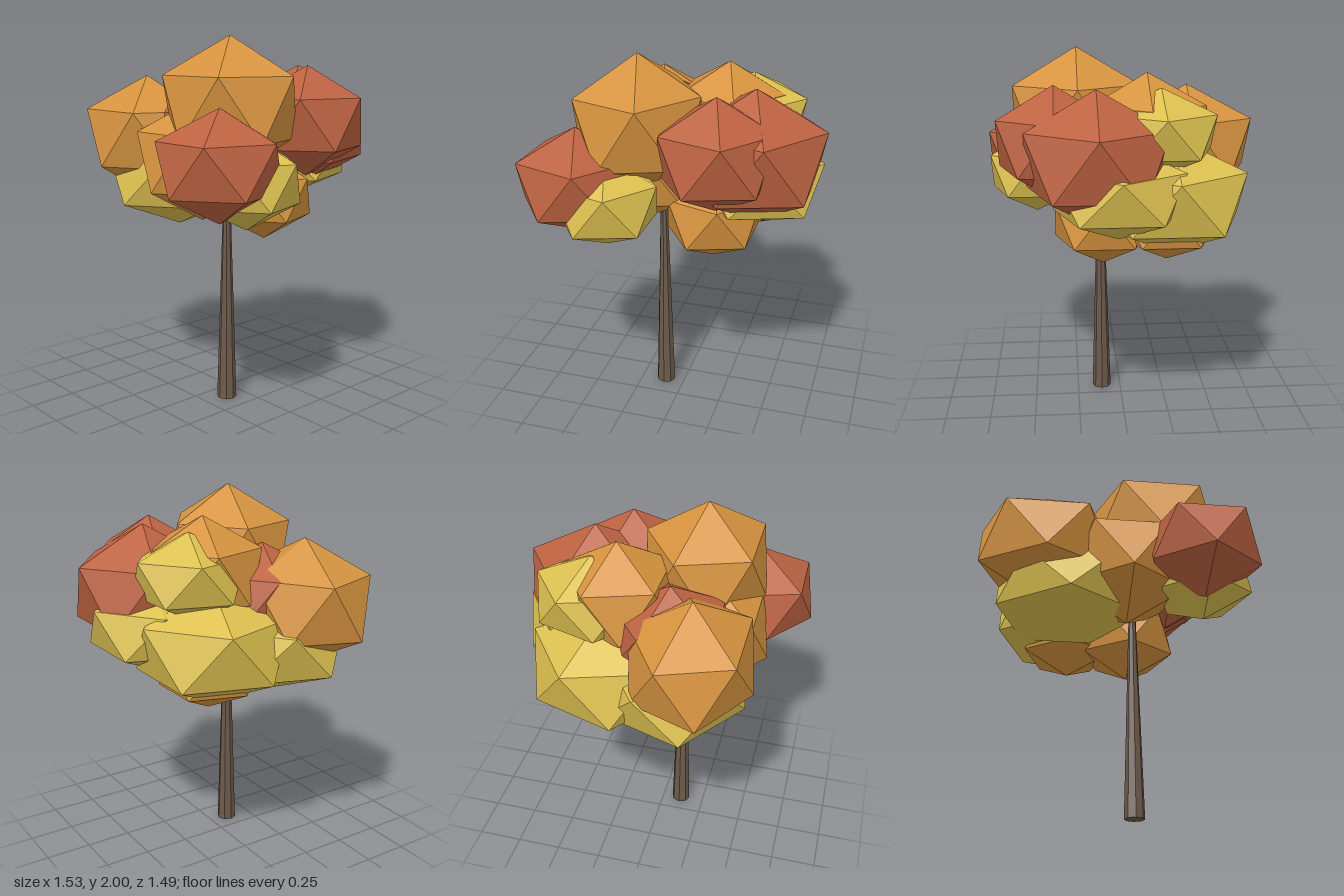
import * as THREE from 'three';

const material = (color) => new THREE.MeshStandardMaterial({ color, flatShading: true });

export function createModel() {
  const tree = new THREE.Group();
  tree.name = 'autumnTree';

  // Slim tapered trunk, running up into the crown
  const height = 1.2;
  const trunk = new THREE.Mesh(new THREE.CylinderGeometry(0.018, 0.054, height, 8), material(0x6b5a4b));
  trunk.name = 'trunk';
  trunk.position.set(-0.11, height / 2, 0.11);
  tree.add(trunk);

  // Twenty-sided leaf clump: one corner points up, one upper corner points to +x
  const clump = new THREE.IcosahedronGeometry(1, 0);
  clump.rotateX(-Math.atan((1 + Math.sqrt(5)) / 2));
  clump.rotateY(Math.PI / 2);

  // Clumps by colour: centre x, y, z, then radii x, y, z
  const foliage = {
    orange: {
      color: 0xd6933f,
      clumps: [
        [-0.20, 1.64, 0.235, 0.37, 0.36, 0.41],
        [0.19, 1.61, -0.12, 0.335, 0.29, 0.35],
        [-0.26, 1.45, -0.39, 0.355, 0.335, 0.42],
        [-0.24, 1.36, 0.06, 0.38, 0.33, 0.38],
        [0.17, 1.125, 0.11, 0.29, 0.25, 0.30],
        [0.23, 1.13, -0.23, 0.29, 0.22, 0.29],
      ],
    },
    red: {
      color: 0xbc6241,
      clumps: [
        [0.24, 1.55, 0.36, 0.335, 0.295, 0.34],
        [0.39, 1.49, 0.15, 0.41, 0.35, 0.42],
        [-0.46, 1.38, 0.45, 0.345, 0.28, 0.34],
        [-0.11, 1.48, -0.22, 0.34, 0.27, 0.34],
      ],
    },
    yellow: {
      color: 0xdcc050,
      clumps: [
        [-0.30, 1.29, 0.47, 0.30, 0.24, 0.30],
        [0.31, 1.61, -0.18, 0.32, 0.225, 0.32],
        [0.22, 1.26, -0.25, 0.44, 0.315, 0.445],
        [0.41, 1.33, 0.04, 0.365, 0.25, 0.39],
        [-0.14, 1.22, -0.26, 0.43, 0.27, 0.45],
      ],
    },
  };

  for (const [name, { color, clumps }] of Object.entries(foliage)) {
    const group = new THREE.Group();
    group.name = `${name}Leaves`;
    const leafMaterial = material(color);
    clumps.forEach(([x, y, z, rx, ry, rz], i) => {
      const mesh = new THREE.Mesh(clump, leafMaterial);
      mesh.name = `${name}Clump${i + 1}`;
      mesh.position.set(x, y, z);
      mesh.scale.set(rx, ry, rz);
      group.add(mesh);
    });
    tree.add(group);
  }
  return tree;
}
